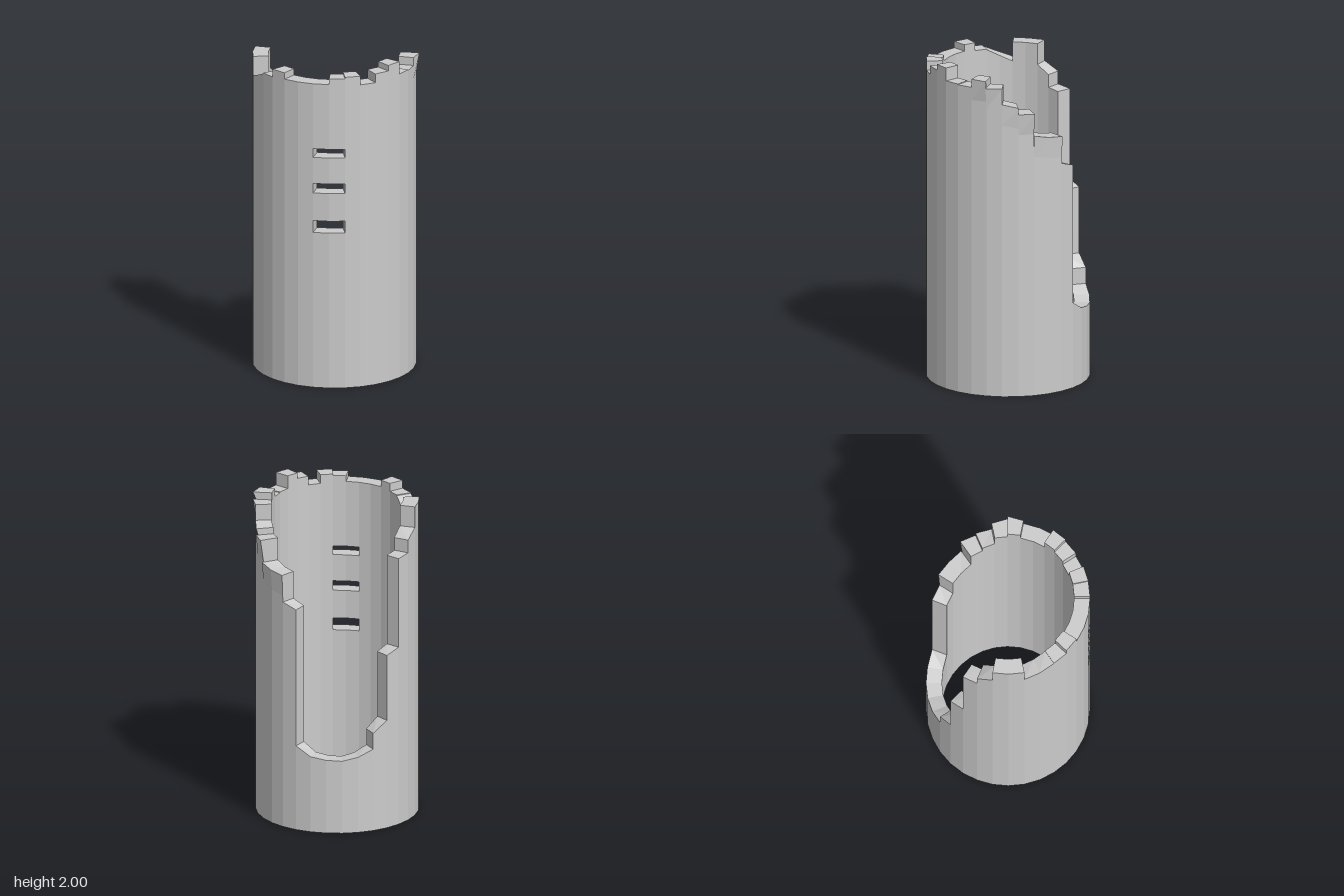
import * as THREE from 'three';

const SIDES = 32, OUTER = 0.49, INNER = 0.395, CENTRE_X = -0.009;

// Rim per wall segment, counted from the front towards +x:
// height at its start, height at its end, outward lean at start and end
const RIM = [
  [1.955, 1.955], [1.965, 1.965], [1.91, 1.91], [1.965, 1.965],
  [2.0, 2.0], [1.92, 1.92], [1.915, 1.915], [1.965, 1.965, 0, 0.019],
  [1.92, 1.92, 0.019, 0], [1.82, 1.8, 0, 0.01], [1.76, 1.76, 0.012, 0.02], [1.62, 1.6, 0.01, 0.008],
  [1.6, 1.59, 0.008, 0.008], [1.42, 1.39], [0.53, 0.475], [0.475, 0.46],
  [0.46, 0.455], [0.455, 0.475], [0.475, 0.515], [0.615, 0.68],
  [1.09, 1.12], [1.68, 1.69], [1.77, 1.82], [1.95, 1.95],
  [1.95, 1.95], [1.83, 1.865], [1.865, 1.905], [1.91, 1.91],
  [1.96, 1.96], [1.92, 1.92], [1.92, 1.92], [1.92, 1.92],
];

// Window slits span the two front segments
const SLITS = [[0.98, 1.055], [1.23, 1.29], [1.455, 1.51]];
const isFront = (i) => i === 0 || i === SIDES - 1;

function point(k, r, y) {
  const a = (k / SIDES) * Math.PI * 2;
  return [CENTRE_X + Math.sin(a) * r, y, Math.cos(a) * r];
}

// Collects quads for one part; corners run counter-clockwise seen from the front
function quadPart(name) {
  const pos = [];
  return {
    quad(a, b, c, d, flip = false) {
      if (flip) [b, d] = [d, b];
      pos.push(...a, ...b, ...c, ...a, ...c, ...d);
    },
    mesh() {
      const g = new THREE.BufferGeometry();
      g.setAttribute('position', new THREE.Float32BufferAttribute(pos, 3));
      g.computeVertexNormals();
      const m = new THREE.Mesh(g, new THREE.MeshStandardMaterial({ color: 0xcccccc, flatShading: true }));
      m.name = name;
      return m;
    },
  };
}

export function createModel() {
  const outer = quadPart('outerWall');
  const inner = quadPart('innerWall');
  const rim = quadPart('brokenRim');
  const reveals = quadPart('windowReveals');
  const base = quadPart('baseRing');

  // Level ring piece across the wall thickness
  const cap = (part, k, y0, y1, f0, f1, down) => part.quad(
    point(k, OUTER + f0, y0), point(k + 1, OUTER + f1, y1),
    point(k + 1, INNER, y1), point(k, INNER, y0), down);

  // Radial end face at boundary k
  const end = (part, k, y0, y1, lean, flip) => part.quad(
    point(k, OUTER, y0), point(k, INNER, y0), point(k, INNER, y1), point(k, OUTER + lean, y1), flip);

  // Curved wall piece between two heights at each boundary
  const wall = (part, k, r, lo, hi, f0, f1, flip) => part.quad(
    point(k, r, lo[0]), point(k + 1, r, lo[1]),
    point(k + 1, r + f1, hi[1]), point(k, r + f0, hi[0]), flip);

  RIM.forEach(([h0, h1, f0 = 0, f1 = 0], i) => {
    // Wall faces, interrupted by slits at the front
    let from = 0;
    if (isFront(i)) {
      for (const [bottom, top] of SLITS) {
        wall(outer, i, OUTER, [from, from], [bottom, bottom], 0, 0, false);
        wall(inner, i, INNER, [from, from], [bottom, bottom], 0, 0, true);
        cap(reveals, i, bottom, bottom, 0, 0, false);
        cap(reveals, i, top, top, 0, 0, true);
        from = top;
      }
    }
    wall(inner, i, INNER, [from, from], [h0, h1], 0, 0, true);
    if (f0 || f1) {
      // Stones near the break lean slightly outwards
      const bend = [h0 - 0.13, h1 - 0.13];
      wall(outer, i, OUTER, [from, from], bend, 0, 0, false);
      wall(outer, i, OUTER, bend, [h0, h1], f0, f1, false);
    } else {
      wall(outer, i, OUTER, [from, from], [h0, h1], 0, 0, false);
    }

    cap(rim, i, h0, h1, f0, f1, false);
    cap(base, i, 0, 0, 0, 0, true);

    // Step to the next segment, facing the lower one
    const next = RIM[(i + 1) % SIDES];
    if (h1 > next[0]) end(rim, i + 1, next[0], h1, f1, false);
    else if (h1 < next[0]) end(rim, i + 1, h1, next[0], next[2] ?? 0, true);
  });

  // Slit jambs
  for (const [bottom, top] of SLITS) {
    end(reveals, -1, bottom, top, 0, false);
    end(reveals, 1, bottom, top, 0, true);
  }

  const group = new THREE.Group();
  group.name = 'ruinedTower';
  group.add(...[outer, inner, rim, reveals, base].map((part) => part.mesh()));
  return group;
}
